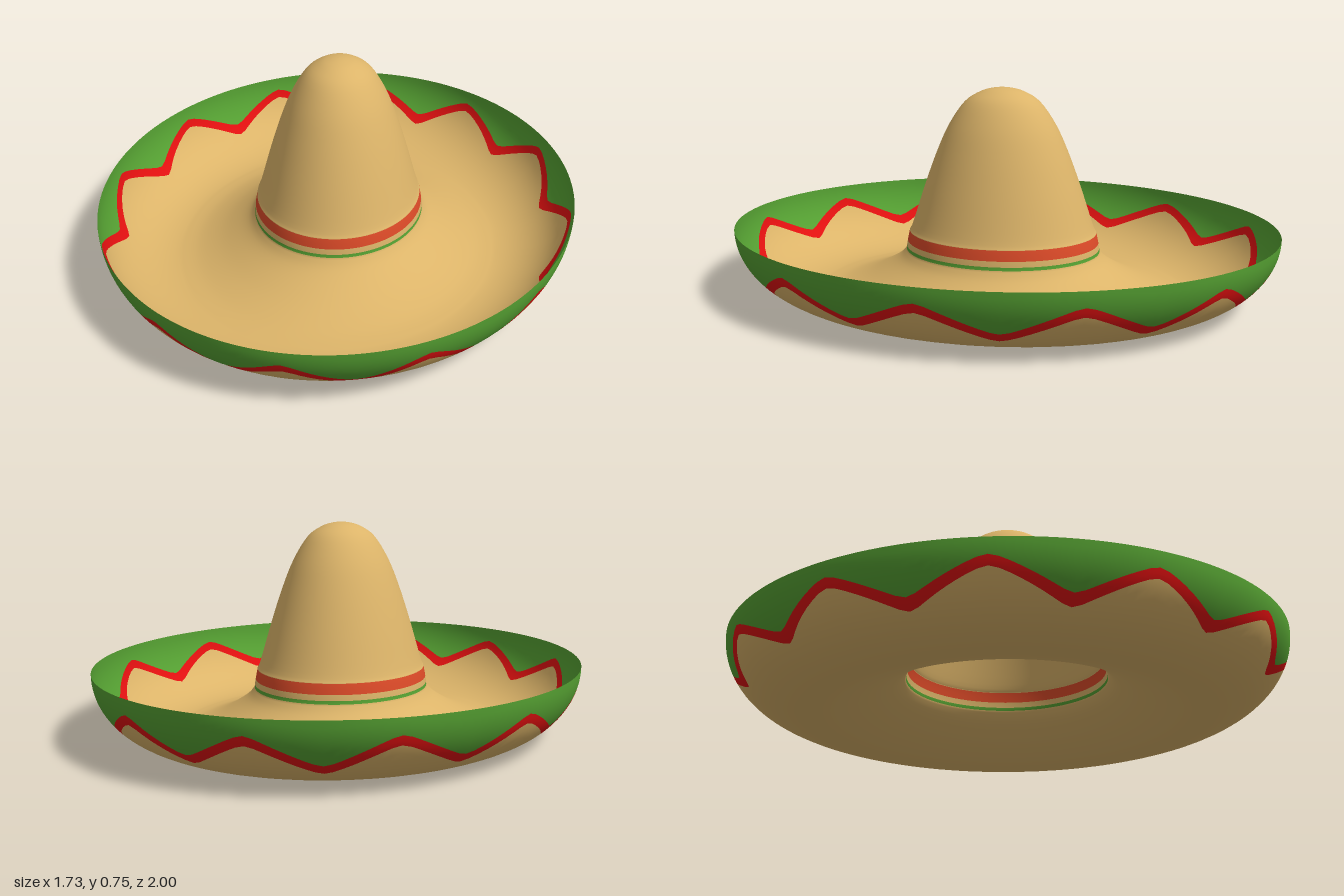
import * as THREE from 'three';

const SEGMENTS = 192;        // columns around the hat
const WAVES = 12;            // zigzag peaks around the brim
const DEPTH = 1 / 0.865;     // the hat is an oval, longer front to back
const WALL_R = 0.6, WALL_W = 0.265, WALL_H = 0.245; // upturned brim: quarter ellipse

function material(name, color) {
  const m = new THREE.MeshStandardMaterial({ color, side: THREE.DoubleSide });
  m.name = name;
  return m;
}

// Rows sampled along a smooth profile of [radius, height] points
function profileRows(points, count) {
  const curve = new THREE.SplineCurve(points.map(([r, y]) => new THREE.Vector2(r, y)));
  return curve.getPoints(count).map((p) => () => [p.x, p.y]);
}

// Height of the middle of the zigzag: a triangle wave with rounded corners
const zigzag = (t) => 0.129 + 0.047 * Math.asin(0.96 * Math.cos(WAVES * t)) / Math.asin(0.96);

// Angle on the quarter ellipse of the wall for a height
const wallAngle = (y) => Math.asin((WALL_H - y) / WALL_H);

// Rows on the upturned wall, between two angles that vary around the hat
function wallRows(from, to, count) {
  return Array.from({ length: count + 1 }, (_, i) => (t) => {
    const a = THREE.MathUtils.lerp(from(t), to(t), i / count);
    return [WALL_R + WALL_W * Math.cos(a), WALL_H - WALL_H * Math.sin(a)];
  });
}

export function createModel() {
  const straw = material('straw', 0xdcb469);
  const green = material('green', 0x55a032);
  const red = material('red', 0xe01010);
  const bandRed = material('band red', 0xdc4a28);

  const lowEdge = (t) => wallAngle(zigzag(t) - 0.016);
  const highEdge = (t) => wallAngle(zigzag(t) + 0.016);

  // Parts from the crown's tip to the rim; each begins where the last one ends
  const parts = [
    ['crown', straw, profileRows([[0, 0.745], [0.03, 0.742], [0.07, 0.729], [0.12, 0.692], [0.17, 0.61],
      [0.21, 0.51], [0.25, 0.385], [0.29, 0.245], [0.302, 0.215]], 32)],
    ['redHatband', bandRed, profileRows([[0.302, 0.215], [0.309, 0.178]], 2)],
    ['hatbandGap', straw, profileRows([[0.309, 0.178], [0.312, 0.158]], 1)],
    ['greenHatband', green, profileRows([[0.312, 0.158], [0.313, 0.146]], 1)],
    ['innerBrim', straw, profileRows([[0.313, 0.146], [0.335, 0.115], [0.38, 0.08], [0.45, 0.04],
      [0.53, 0.01], [0.6, 0]], 18)],
    ['outerBrim', straw, wallRows(() => Math.PI / 2, lowEdge, 10)],
    ['zigzagTrim', red, wallRows(lowEdge, highEdge, 2)],
    ['greenRim', green, wallRows(highEdge, () => 0, 6)],
  ];

  // One shared shell, so that shading stays smooth across the colours
  const positions = [], index = [], ranges = [];
  let row = 0;
  parts.forEach(([, , rows], p) => {
    const start = index.length;
    rows.slice(p ? 1 : 0).forEach((at) => {
      for (let j = 0; j < SEGMENTS; j++) {
        const t = (j / SEGMENTS) * Math.PI * 2;
        const [r, y] = at(t);
        positions.push(r * Math.sin(t), y, r * Math.cos(t) * DEPTH);
        if (row > 0) {
          const k = (j + 1) % SEGMENTS;
          const up = (row - 1) * SEGMENTS, down = row * SEGMENTS;
          index.push(up + j, down + j, down + k);
          if (row > 1) index.push(up + j, down + k, up + k);
        }
      }
      row++;
    });
    ranges.push([start, index.length]);
  });
  const shell = new THREE.BufferGeometry();
  shell.setAttribute('position', new THREE.Float32BufferAttribute(positions, 3));
  shell.setIndex(index);
  shell.computeVertexNormals();

  // Cut the shell into its named parts
  const hat = new THREE.Group();
  hat.name = 'wideBrimmedHat';
  parts.forEach(([name, mat], p) => {
    const piece = shell.clone();
    piece.setIndex(index.slice(...ranges[p]));
    const mesh = new THREE.Mesh(piece.toNonIndexed(), mat);
    mesh.name = name;
    hat.add(mesh);
  });
  return hat;
}
